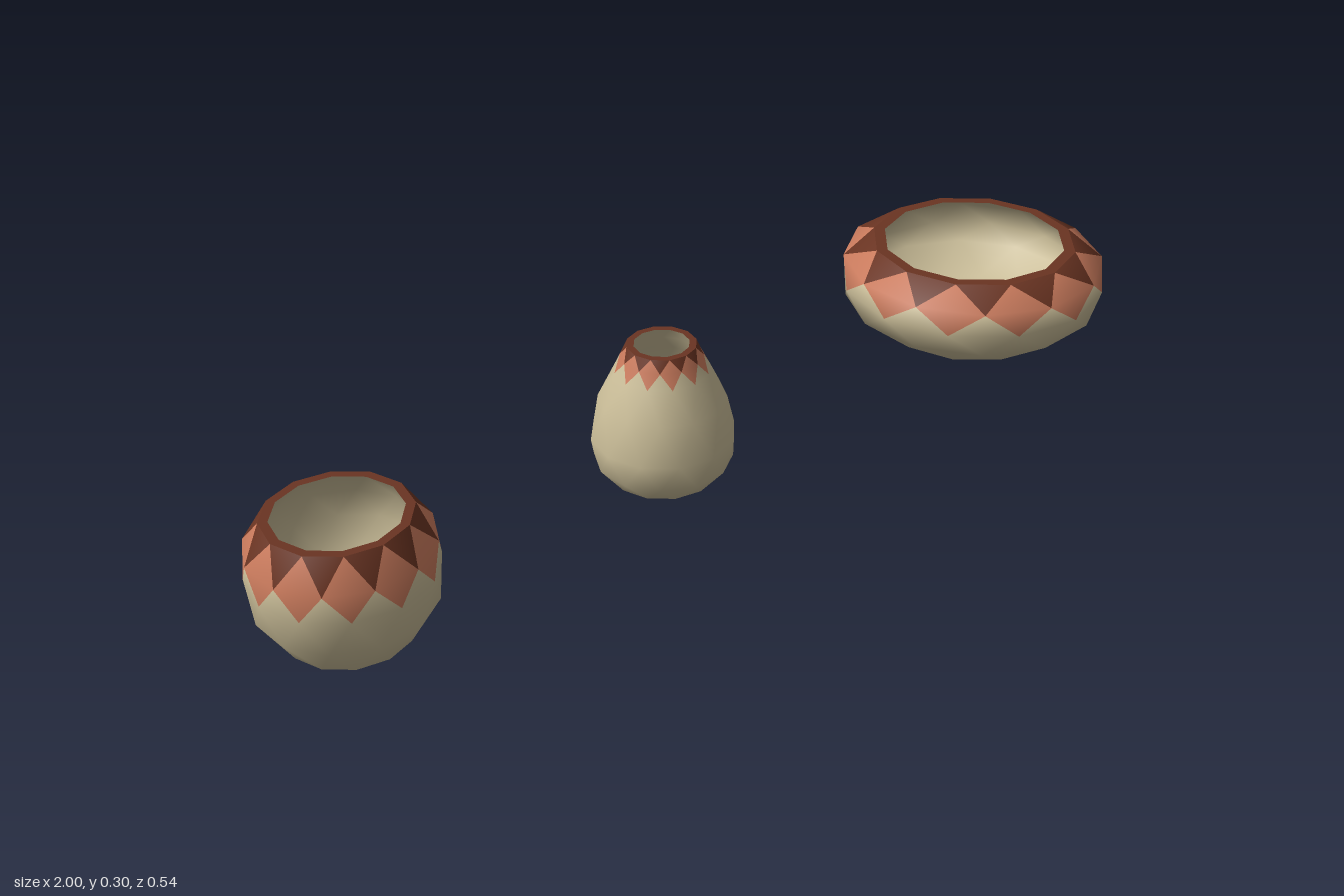
import * as THREE from 'three';

const SIDES = 12;
const clay = new THREE.MeshStandardMaterial({ color: 0xcabd98 });
const terracotta = new THREE.MeshStandardMaterial({ color: 0xc97a5c });
const umber = new THREE.MeshStandardMaterial({ color: 0x6a3422 });

// Rings of points from rim to base; every second ring is turned by half a side.
function ringPoints(profile) {
  const points = [];
  profile.forEach(([r, y], k) => {
    for (let i = 0; i < SIDES; i++) {
      const a = ((i + (k % 2) / 2) / SIDES) * Math.PI * 2;
      points.push(r * Math.sin(a), y, r * Math.cos(a));
    }
  });
  return points;
}

// Triangles between the staggered rings, sorted by colour through pick(band, pointsDown).
function skin(profile, baseY, inward, pick) {
  const points = ringPoints(profile);
  points.push(0, baseY, 0);
  const pole = points.length / 3 - 1;
  const at = (k, i) => k * SIDES + ((i + SIDES) % SIDES);
  const sets = {};
  const all = [];
  const add = (name, a, b, c) => {
    const tri = inward ? [a, c, b] : [a, b, c];
    (sets[name] ??= []).push(...tri);
    all.push(...tri);
  };
  const last = profile.length - 1;
  for (let k = 0; k < last; k++) {
    const odd = k % 2;
    for (let i = 0; i < SIDES; i++) {
      add(pick(k, true), at(k, i), at(k + 1, i + odd), at(k, i + 1));
      add(pick(k, false), at(k + 1, i - 1 + odd), at(k + 1, i + odd), at(k, i));
    }
  }
  for (let i = 0; i < SIDES; i++) add(pick(last, true), at(last, i), pole, at(last, i + 1));

  // Normals are shared by all colours, so the surface stays smooth across the pattern
  const whole = new THREE.BufferGeometry();
  whole.setAttribute('position', new THREE.Float32BufferAttribute(points, 3));
  whole.setIndex(all);
  whole.computeVertexNormals();
  return Object.entries(sets).map(([name, index]) => {
    const g = new THREE.BufferGeometry();
    g.setAttribute('position', whole.attributes.position);
    g.setAttribute('normal', whole.attributes.normal);
    g.setIndex(index);
    return [name, g];
  });
}

// Body colours: dark rim triangles, terracotta diamonds, plain clay below
function pattern(band, pointsDown) {
  if (band === 0) return pointsDown ? 'rimTriangles' : 'diamonds';
  if (band === 1 && pointsDown) return 'diamonds';
  return 'body';
}
const materials = { rimTriangles: umber, diamonds: terracotta, body: clay, inside: clay };

function vessel(name, x, wall, profile) {
  const group = new THREE.Group();
  group.name = name;
  group.position.x = x;
  const height = profile[0][1];
  const inner = profile.map(([r, y]) => [r - wall, y + wall * 0.8 * (1 - y / height)]);
  const parts = [
    ...skin(profile, 0, false, pattern),
    ...skin(inner, wall * 0.8, true, () => 'inside'),
  ];
  for (const [part, geometry] of parts) {
    const mesh = new THREE.Mesh(geometry, materials[part]);
    mesh.name = part;
    group.add(mesh);
  }
  // Flat lip joining the outer and inner walls
  const lip = new THREE.Mesh(new THREE.RingGeometry(inner[0][0], profile[0][0], SIDES), umber);
  lip.name = 'lip';
  lip.rotation.x = -Math.PI / 2;
  lip.position.y = height;
  group.add(lip);
  return group;
}

export function createModel() {
  const model = new THREE.Group();
  model.name = 'potterySet';
  model.add(
    vessel('jar', -0.842, 0.016, [
      [0.124, 0.265], [0.157, 0.213], [0.158, 0.163], [0.152, 0.1],
      [0.108, 0.035], [0.068, 0.011],
    ]),
    vessel('vase', -0.147, 0.013, [
      [0.064, 0.302], [0.075, 0.28], [0.087, 0.252], [0.117, 0.195],
      [0.134, 0.12], [0.128, 0.07], [0.099, 0.034], [0.055, 0.011],
    ]),
    vessel('bowl', 0.728, 0.023, [
      [0.21, 0.209], [0.268, 0.173], [0.272, 0.125], [0.261, 0.08],
      [0.19, 0.028], [0.124, 0.008],
    ]),
  );
  return model;
}
